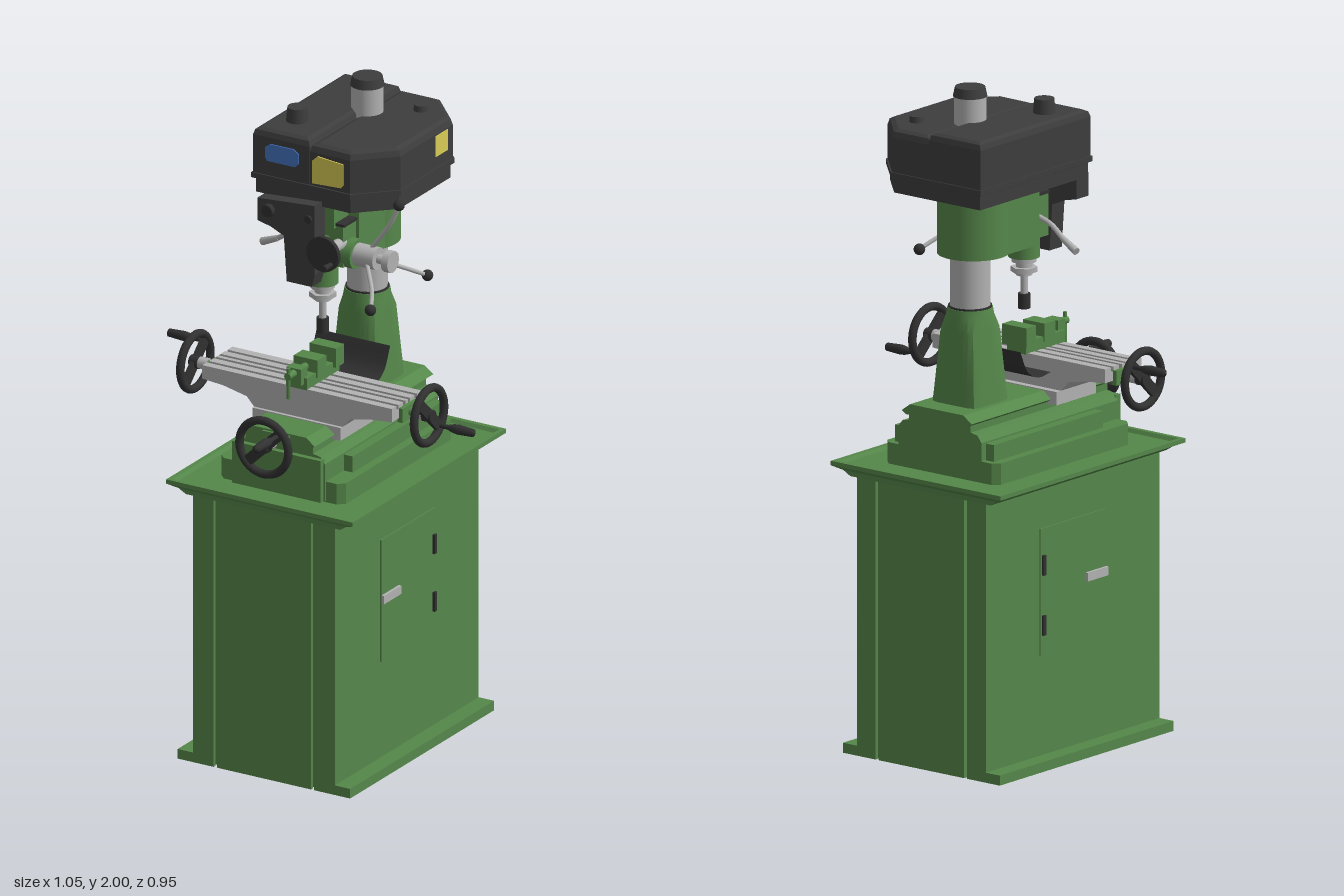
import * as THREE from 'three';
import { toCreasedNormals } from 'three/addons/utils/BufferGeometryUtils.js';

const V = (x, y, z) => new THREE.Vector3(x, y, z);
const mat = (name, color, side = THREE.FrontSide) => {
  const m = new THREE.MeshStandardMaterial({ color, side });
  m.name = name;
  return m;
};

export function createModel() {
  const green = mat('green paint', 0x55874a);
  const dark = mat('dark plastic', 0x3d3d3d);
  const black = mat('black', 0x313131, THREE.DoubleSide);
  const steel = mat('steel', 0xb2b2b2);
  const blue = mat('blue label', 0x4573c0);
  const yellow = mat('yellow label', 0xd8cb55);
  const root = new THREE.Group();
  root.name = 'millingDrill';

  const add = (name, geo, m, x = 0, y = 0, z = 0, parent = root) => {
    const mesh = new THREE.Mesh(geo, m);
    mesh.name = name;
    mesh.position.set(x, y, z);
    parent.add(mesh);
    return mesh;
  };
  // box given by its extents
  const box = (name, m, x0, x1, y0, y1, z0, z1, parent = root) =>
    add(name, new THREE.BoxGeometry(x1 - x0, y1 - y0, z1 - z0), m, (x0 + x1) / 2, (y0 + y1) / 2, (z0 + z1) / 2, parent);
  // cylinder between two points
  const rod = (name, m, a, b, r0, r1 = r0, n = 24, parent = root) => {
    const d = b.clone().sub(a);
    const c = a.clone().add(b).multiplyScalar(0.5);
    const mesh = add(name, new THREE.CylinderGeometry(r1, r0, d.length(), n), m, c.x, c.y, c.z, parent);
    mesh.quaternion.setFromUnitVectors(V(0, 1, 0), d.normalize());
    return mesh;
  };
  // closed skin through rings of equal length, counterclockwise from above
  const loft = (rings, crease = 0.3) => {
    const n = rings[0].length, idx = [];
    for (let i = 0; i < rings.length - 1; i++) for (let j = 0; j < n; j++) {
      const a = i * n + j, b = i * n + (j + 1) % n;
      idx.push(a, b, b + n, a, b + n, a + n);
    }
    const top = (rings.length - 1) * n;
    for (let j = 1; j < n - 1; j++) idx.push(0, j + 1, j, top, top + j, top + j + 1);
    const g = new THREE.BufferGeometry();
    g.setAttribute('position', new THREE.Float32BufferAttribute(rings.flat(2), 3));
    g.setIndex(idx);
    return toCreasedNormals(g, crease);
  };
  const rect = ([y, hx, z0, z1]) => [[hx, y, z1], [hx, y, z0], [-hx, y, z0], [-hx, y, z1]];
  // upright prism from x,z outline, with optional bevel
  const prism = (pts, y0, y1, bevel = 0) => {
    const g = new THREE.ExtrudeGeometry(new THREE.Shape(pts.map(([x, z]) => new THREE.Vector2(x, -z))), {
      depth: y1 - y0 - 2 * bevel, bevelEnabled: bevel > 0, bevelThickness: bevel,
      bevelSize: bevel * 0.8, bevelOffset: -bevel * 0.8, bevelSegments: 2 });
    return g.rotateX(-Math.PI / 2).translate(0, y0 + bevel, 0);
  };
  // front outline extruded along z
  const profileZ = (pts, z0, z1) => new THREE.ExtrudeGeometry(
    new THREE.Shape(pts.map(([x, y]) => new THREE.Vector2(x, y))), { depth: z1 - z0, bevelEnabled: false }).translate(0, 0, z0);
  const mirrored = (half) => [...half, ...half.map(([x, y]) => [-x, y]).reverse()];

  // Cabinet: open at the bottom, grooved front and back, a door on each side
  for (const s of [-1, 1]) {
    box('cabinetSide', green, s * 0.235 - 0.006, s * 0.235 + 0.006, 0, 0.84, -0.455, 0.34);
    box('cabinetFoot', green, s * 0.266 - 0.027, s * 0.266 + 0.027, 0, 0.03, -0.455, 0.34);
    box('cabinetDoor', green, s * 0.243 - 0.003, s * 0.243 + 0.003, 0.33, 0.71, -0.21, 0.09);
    box('doorHandle', steel, s * 0.249 - 0.006, s * 0.249 + 0.006, 0.512, 0.538, -0.005, 0.09);
    for (const y of [0.6, 0.42]) box('doorHinge', black, s * 0.247 - 0.006, s * 0.247 + 0.006, y - 0.03, y + 0.03, -0.205, -0.193);
    for (const z of [-0.449, 0.334]) box('cabinetCorner', green, s * 0.205 - 0.034, s * 0.205 + 0.034, 0, 0.84, z - 0.006, z + 0.006);
  }
  for (const [z, d] of [[-0.449, 1], [0.334, -1]]) {
    box('cabinetPanel', green, -0.16, 0.16, 0, 0.84, z - 0.006, z + 0.006);
    box('cabinetGroove', green, -0.18, 0.18, 0, 0.84, z + d * 0.018 - 0.004, z + d * 0.018 + 0.004);
  }
  add('chipTray', loft([[0.835, 0.262, -0.46, 0.345], [0.85, 0.285, -0.463, 0.348], [0.863, 0.317, -0.482, 0.365],
    [0.876, 0.317, -0.482, 0.365], [0.876, 0.303, -0.468, 0.351], [0.865, 0.295, -0.46, 0.343]].map(rect)), green);

  // Machine base with slideways
  add('baseFlange', prism([[-0.212, 0.23], [-0.192, 0.25], [0.192, 0.25], [0.212, 0.23], [0.212, -0.35], [0.192, -0.37], [-0.192, -0.37], [-0.212, -0.35]], 0.866, 0.93), green);
  box('baseRib', green, -0.185, 0.185, 0.92, 0.98, -0.35, 0.15);
  add('baseBody', profileZ(mirrored([[0.155, 0.87], [0.155, 0.985], [0.14, 1.005], [0.115, 1.01], [0.115, 1.03]]), -0.37, 0.255), green);
  add('baseWays', profileZ(mirrored([[0.115, 1.03], [0.13, 1.04], [0.1, 1.062]]), -0.385, 0.27), green);
  box('baseFront', green, -0.15, 0.15, 0.87, 1.0, 0.25, 0.272);

  // Column: a squarish foot turning round, then the steel tube
  const footRing = ([y, r, k]) => Array.from({ length: 32 }, (_, i) => {
    const t = i / 32 * Math.PI * 2, c = Math.cos(t), s = Math.sin(t);
    const f = r / Math.pow(Math.abs(c) ** k + Math.abs(s) ** k, 1 / k);
    return [c * f, y, -0.232 - s * f];
  });
  add('columnFoot', loft([[1.05, 0.085, 8], [1.12, 0.08, 7], [1.28, 0.072, 4], [1.32, 0.07, 2], [1.342, 0.066, 2]].map(footRing), 0.5), green);
  rod('columnCollar', black, V(0, 1.338, -0.232), V(0, 1.347, -0.232), 0.064, 0.064, 32);
  rod('column', steel, V(0, 1.34, -0.232), V(0, 1.72, -0.232), 0.059, 0.059, 32);
  rod('columnTop', steel, V(0, 1.86, -0.232), V(0, 1.975, -0.232), 0.047, 0.047, 32);
  rod('columnCap', dark, V(0, 1.972, -0.232), V(0, 2, -0.232), 0.05, 0.044, 32);

  // Head casting, quill and chuck
  rod('headClamp', green, V(0, 1.5, -0.218), V(0, 1.71, -0.218), 0.105, 0.105, 40);
  box('headBody', green, -0.095, 0.095, 1.5, 1.71, -0.2, -0.03);
  box('headFront', green, -0.07, 0.085, 1.51, 1.64, -0.12, 0.04);
  box('headNeck', green, -0.06, 0.06, 1.63, 1.71, -0.05, 0.05);
  box('headSeam', black, -0.075, 0.09, 1.637, 1.645, -0.12, 0.042);
  const quill = [['quillHousing', green, 1.44, 1.6, 0.046], ['quillNose', steel, 1.425, 1.445, 0.036], ['spindle', steel, 1.385, 1.43, 0.024],
    ['chuckArbor', steel, 1.32, 1.39, 0.011], ['drillChuck', black, 1.285, 1.33, 0.018], ['spindleNut', steel, 1.395, 1.41, 0.04]];
  for (const [name, m, y0, y1, r] of quill) rod(name, m, V(0, y0, 0.015), V(0, y1, 0.015), r, r, name === 'spindleNut' ? 6 : 28);

  // Belt cover: lower pan, lip and split lid
  const outline = (e) => [[-0.2 - e, 0.075 + e], [0.13 + e / 2, 0.075 + e], [0.236 + e, -0.03 + e / 2], [0.236 + e, -0.32 - e / 2], [0.13 + e / 2, -0.43 - e], [-0.2 - e, -0.43 - e]];
  add('coverPan', prism(outline(-0.006), 1.7, 1.75), dark);
  add('coverLip', prism(outline(0.004), 1.746, 1.762), dark);
  add('coverLidLeft', prism([[-0.2, 0.075], [-0.008, 0.075], [-0.008, -0.43], [-0.2, -0.43]], 1.735, 1.902, 0.022), dark);
  add('coverLidRight', prism([[-0.008, 0.072], ...outline(0).slice(1, 5), [-0.008, -0.43]], 1.735, 1.89, 0.024), dark);
  rod('coverKnob', dark, V(-0.118, 1.89, -0.037), V(-0.118, 1.945, -0.037), 0.034, 0.029, 28);
  rod('coverBolt', dark, V(0.13, 1.88, -0.317), V(0.13, 1.908, -0.317), 0.023, 0.02, 20);
  add('blueLabel', profileZ([[-0.15, 1.808], [-0.055, 1.808], [-0.043, 1.82], [-0.043, 1.85], [-0.06, 1.862], [-0.14, 1.862], [-0.157, 1.85], [-0.157, 1.82]], 0.074, 0.079), blue);
  add('yellowLabel', profileZ([[0.002, 1.77], [0.1, 1.775], [0.108, 1.785], [0.108, 1.85], [0.02, 1.857], [0.002, 1.84]], 0.073, 0.078), yellow);
  box('sideLabel', yellow, 0.234, 0.239, 1.798, 1.862, -0.29, -0.222);

  // Switch panel and the speed lever on its side
  add('switchPanel', profileZ([[-0.065, 1.46], [0.02, 1.46], [0.03, 1.5], [0.03, 1.715], [-0.165, 1.7], [-0.165, 1.63], [-0.12, 1.62], [-0.075, 1.6]], 0.052, 0.108), dark);
  rod('switchKnob', black, V(-0.125, 1.67, 0.1), V(-0.125, 1.67, 0.122), 0.022, 0.018);
  rod('panelButton', black, V(0.01, 1.67, 0.1), V(0.01, 1.67, 0.116), 0.012);
  const lever = new THREE.CatmullRomCurve3([V(-0.06, 1.575, 0), V(-0.12, 1.56, -0.008), V(-0.18, 1.525, -0.02), V(-0.22, 1.507, -0.028)]);
  add('speedLever', new THREE.TubeGeometry(lever, 16, 0.008, 10), steel);
  rod('speedLeverGrip', steel, V(-0.17, 1.53, -0.018), V(-0.232, 1.502, -0.03), 0.009, 0.012, 14);

  // Fine feed wheel on the front of the head
  rod('fineFeedShaft', steel, V(0.07, 1.58, 0.02), V(0.07, 1.58, 0.13), 0.018);
  rod('fineFeedWheel', black, V(0.07, 1.58, 0.118), V(0.07, 1.58, 0.132), 0.054, 0.054, 32);
  rod('fineFeedKnob', black, V(0.1, 1.555, 0.13), V(0.1, 1.555, 0.172), 0.007, 0.01, 14);

  // Three-spoke quill handle
  rod('quillHandleShaft', green, V(0.06, 1.545, 0), V(0.11, 1.545, 0), 0.045);
  rod('quillHandleHub', steel, V(0.1, 1.545, 0), V(0.18, 1.545, 0), 0.034);
  rod('quillHandleStem', steel, V(0.18, 1.545, 0), V(0.212, 1.545, 0), 0.014);
  rod('quillHandleKnob', steel, V(0.208, 1.545, 0), V(0.23, 1.545, 0), 0.033, 0.033, 12);
  for (let i = 0; i < 3; i++) {
    const t = Math.PI / 2 + i * Math.PI * 2 / 3;
    const p = (x, r) => V(x, 1.545 + Math.sin(t) * r, Math.cos(t) * r);
    add('quillSpoke', new THREE.TubeGeometry(new THREE.CatmullRomCurve3([p(0.15, 0.02), p(0.18, 0.06), p(0.222, 0.12), p(0.248, 0.175)]), 14, 0.0065, 10), steel);
    const b = p(0.25, 0.182);
    add('spokeBall', new THREE.SphereGeometry(0.017, 18, 12), black, b.x, b.y, b.z);
  }

  // Slotted table on its saddle
  add('tableBody', profileZ(mirrored([[0.14, 1.085], [0.17, 1.095], [0.25, 1.112], [0.322, 1.118], [0.322, 1.145]]), -0.01, 0.157), steel);
  const ridges = [[-0.01, 0.018], [0.03, 0.056], [0.068, 0.082], [0.094, 0.12], [0.132, 0.157]];
  for (const [a, b] of ridges) box('tableRidge', steel, -0.322, 0.322, 1.14, 1.16, a, b);
  add('saddle', profileZ(mirrored([[0.14, 1.045], [0.145, 1.06], [0.16, 1.075], [0.18, 1.098]]), 0.0, 0.15), steel);
  box('saddleSlide', steel, -0.15, 0.15, 1.025, 1.065, -0.02, 0.16);

  // Curved chip guard behind the table
  const bend = new THREE.CatmullRomCurve3([V(0, 1.12, -0.015), V(0, 1.115, -0.07), V(0, 1.14, -0.12), V(0, 1.208, -0.155)]);
  const guard = new THREE.PlaneGeometry(0.25, 1, 1, 12), gp = guard.attributes.position;
  for (let i = 0; i < gp.count; i++) {
    const q = bend.getPoint(gp.getY(i) + 0.5);
    gp.setXYZ(i, gp.getX(i), q.y, q.z);
  }
  guard.computeVertexNormals();
  add('chipGuard', guard, black);

  // Vise
  box('viseBase', green, -0.035, 0.035, 1.158, 1.195, -0.02, 0.16);
  box('viseFixedJaw', green, -0.045, 0.045, 1.18, 1.24, -0.03, 0.015);
  box('viseMovingJaw', green, -0.04, 0.04, 1.18, 1.235, 0.06, 0.11);
  box('viseNut', green, -0.025, 0.025, 1.175, 1.225, 0.14, 0.175);
  rod('viseScrew', green, V(0, 1.21, 0.1), V(0, 1.21, 0.21), 0.011);
  rod('viseHandle', green, V(0, 1.14, 0.203), V(0, 1.235, 0.203), 0.006);

  // Handwheels: the axle runs along the group's own z
  const gripShape = [[0, 0], [0.007, 0], [0.007, 0.025], [0.013, 0.045], [0.015, 0.06], [0.012, 0.112], [0, 0.118]].map(([r, y]) => new THREE.Vector2(r, y));
  const handwheel = (name, x, y, z, turn, hx, hy) => {
    const g = new THREE.Group();
    g.name = name;
    g.position.set(x, y, z);
    g.rotation.y = turn;
    root.add(g);
    add('wheelRim', new THREE.TorusGeometry(0.083, 0.0125, 12, 40), black, 0, 0, 0, g);
    add('wheelBar', new THREE.BoxGeometry(0.16, 0.032, 0.014), black, 0, 0, 0, g).rotation.z = Math.atan2(hy, hx);
    rod('wheelHub', black, V(0, 0, -0.016), V(0, 0, 0.014), 0.02, 0.018, 24, g);
    add('wheelGrip', new THREE.LatheGeometry(gripShape, 18), black, hx, hy, 0.008, g).rotation.x = Math.PI / 2;
    rod('wheelCollar', steel, V(0, 0, -0.045), V(0, 0, -0.014), 0.018, 0.018, 24, g);
    rod('wheelShaft', green, V(0, 0, -0.062), V(0, 0, -0.044), 0.013, 0.013, 20, g);
    box('wheelBracket', green, -0.045, 0.045, -0.022, 0.022, -0.08, -0.062, g);
  };
  handwheel('crossFeedWheel', 0, 1.035, 0.34, 0, 0.047, 0.045);
  handwheel('leftTableWheel', 0.397, 1.127, 0.073, Math.PI / 2, 0.05, -0.047);
  handwheel('rightTableWheel', -0.397, 1.127, 0.073, -Math.PI / 2, -0.05, 0.047);
  return root;
}
